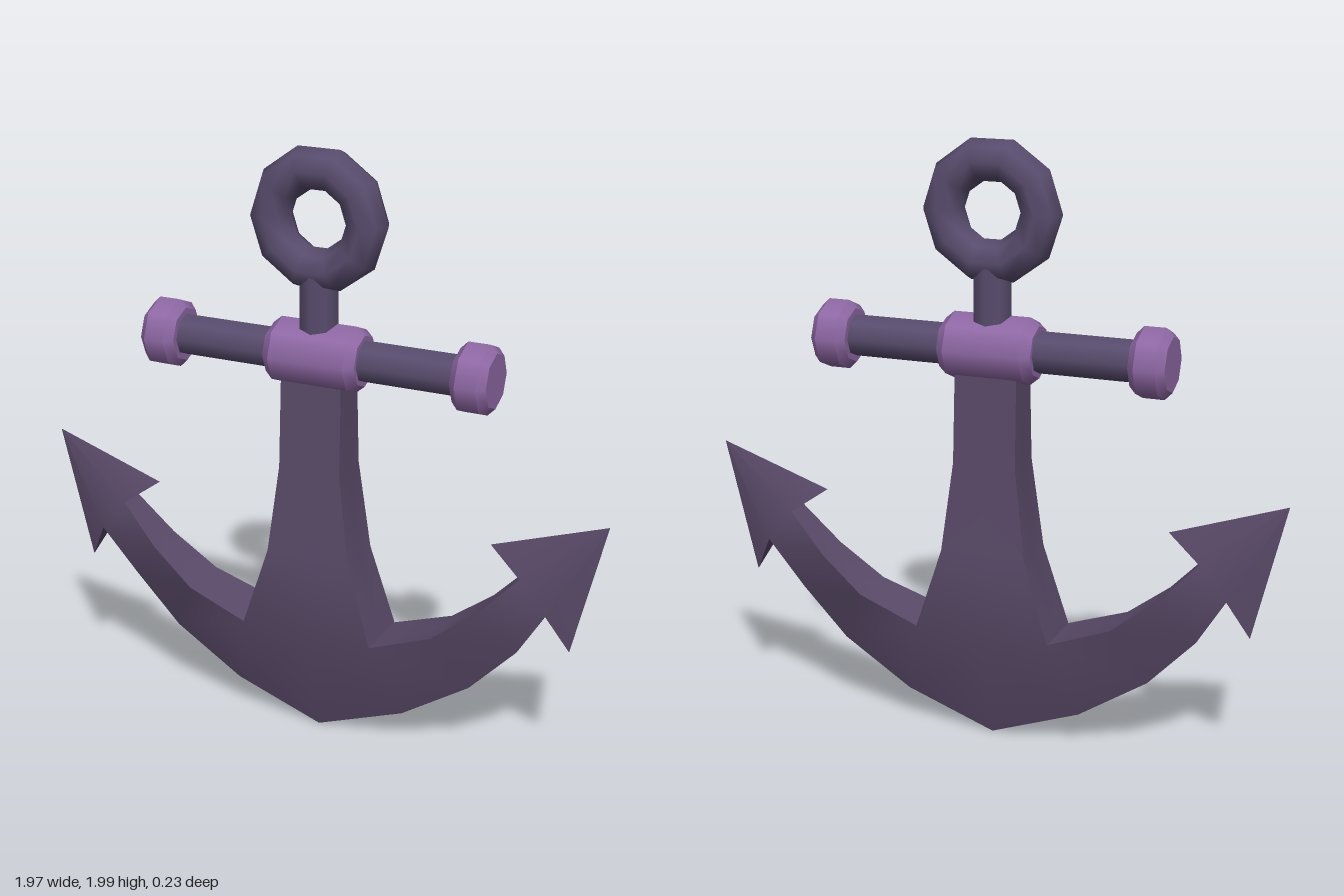
import * as THREE from 'three';
import { mergeGeometries, toCreasedNormals } from 'three/addons/utils/BufferGeometryUtils.js';

const material = (name, color) => {
  const m = new THREE.MeshStandardMaterial({ color });
  m.name = name;
  return m;
};

// Shank, arms and flukes: one quarter is described, then mirrored in x and z.
function anchorBody() {
  // Points are x, y and half depth
  const shank = [[0.105, 1.3, 0.06], [0.107, 0.96, 0.075], [0.145, 0.66, 0.09], [0.23, 0.39, 0.105]];
  const spine = shank.map(([, y, z]) => [0, y, z]);
  spine[3] = [0, 0.35, 0.108];
  const neckIn = [0.715, 0.71, 0.045], neckOut = [0.805, 0.6, 0.045];
  const tip = [0.985, 0.92, 0], barbIn = [0.6, 0.79, 0], barbOut = [0.875, 0.47, 0];
  const inner = [spine[3], shank[3], [0.44, 0.465, 0.092], [0.59, 0.58, 0.07], neckIn];
  const keel = [[0, 0.005, 0], [0.305, 0.115, 0], [0.54, 0.265, 0], [0.7, 0.43, 0], neckOut];

  const pos = [];
  const tri = (...pts) => {
    const [a, b, c] = pts.map((p) => new THREE.Vector3(...p));
    if (b.sub(a).cross(c.sub(a)).length() < 1e-7) return;
    for (const sx of [1, -1]) for (const sz of [1, -1]) {
      const order = sx * sz > 0 ? [0, 1, 2] : [0, 2, 1];
      for (const i of order) pos.push(pts[i][0] * sx, pts[i][1], pts[i][2] * sz);
    }
  };
  const quad = (a, b, c, d) => { tri(a, b, c); tri(a, c, d); };

  // Broad faces of shank and arms
  for (let i = 0; i < 3; i++) quad(spine[i], spine[i + 1], shank[i + 1], shank[i]);
  for (let i = 0; i < 4; i++) quad(inner[i], keel[i], keel[i + 1], inner[i + 1]);
  // Arrow-shaped fluke
  tri(neckIn, neckOut, tip);
  tri(barbIn, neckIn, tip);
  tri(neckOut, barbOut, tip);
  // Edge walls between front and back
  const flat = ([x, y]) => [x, y, 0];
  for (const rim of [[...shank, ...inner.slice(2), barbIn], [barbOut, neckOut, keel[3]]]) {
    for (let i = 0; i < rim.length - 1; i++) quad(rim[i], rim[i + 1], flat(rim[i + 1]), flat(rim[i]));
  }
  // Top of shank
  quad(spine[0], shank[0], flat(shank[0]), flat(spine[0]));

  const g = new THREE.BufferGeometry();
  g.setAttribute('position', new THREE.Float32BufferAttribute(pos, 3));
  return toCreasedNormals(g, 0.6);
}

// Eight-sided barrel along x with chamfered ends
function barrel(length, radius, chamfer, endRadius) {
  const mid = length - 2 * chamfer, off = (mid + chamfer) / 2;
  const parts = [
    new THREE.CylinderGeometry(radius, radius, mid, 8, 1, true),
    new THREE.CylinderGeometry(endRadius, radius, chamfer, 8, 1, true).translate(0, off, 0),
    new THREE.CylinderGeometry(radius, endRadius, chamfer, 8, 1, true).translate(0, -off, 0),
    new THREE.CircleGeometry(endRadius, 8).rotateX(-Math.PI / 2).translate(0, length / 2, 0),
    new THREE.CircleGeometry(endRadius, 8).rotateX(Math.PI / 2).translate(0, -length / 2, 0),
  ];
  return mergeGeometries(parts).rotateZ(Math.PI / 2);
}

export function createModel() {
  const bodyMat = material('dark plum iron', 0x5a4a69);
  const barMat = material('dark violet iron', 0x584c6d);
  const trimMat = material('light purple trim', 0x9069a6);
  const model = new THREE.Group();
  model.name = 'anchor';
  const add = (name, geometry, mat, x = 0, y = 0) => {
    const mesh = new THREE.Mesh(geometry, mat);
    mesh.name = name;
    mesh.position.set(x, y, 0);
    model.add(mesh);
  };

  add('shankAndArms', anchorBody(), bodyMat);

  // Ring and its stem
  add('ring', new THREE.TorusGeometry(0.165, 0.07, 8, 10), barMat, 0, 1.776);
  add('ringStem', new THREE.CylinderGeometry(0.065, 0.065, 0.22, 8), barMat, 0, 1.49);

  // Crossbar with hub and end knobs
  const barY = 1.335;
  add('crossbar', new THREE.CylinderGeometry(0.069, 0.069, 1.06, 8).rotateZ(Math.PI / 2), barMat, 0, barY);
  add('hub', barrel(0.32, 0.11, 0.03, 0.085), trimMat, 0, barY);
  add('leftKnob', barrel(0.12, 0.115, 0.025, 0.09), trimMat, 0.54, barY);
  add('rightKnob', barrel(0.12, 0.115, 0.025, 0.09), trimMat, -0.54, barY);
  return model;
}
